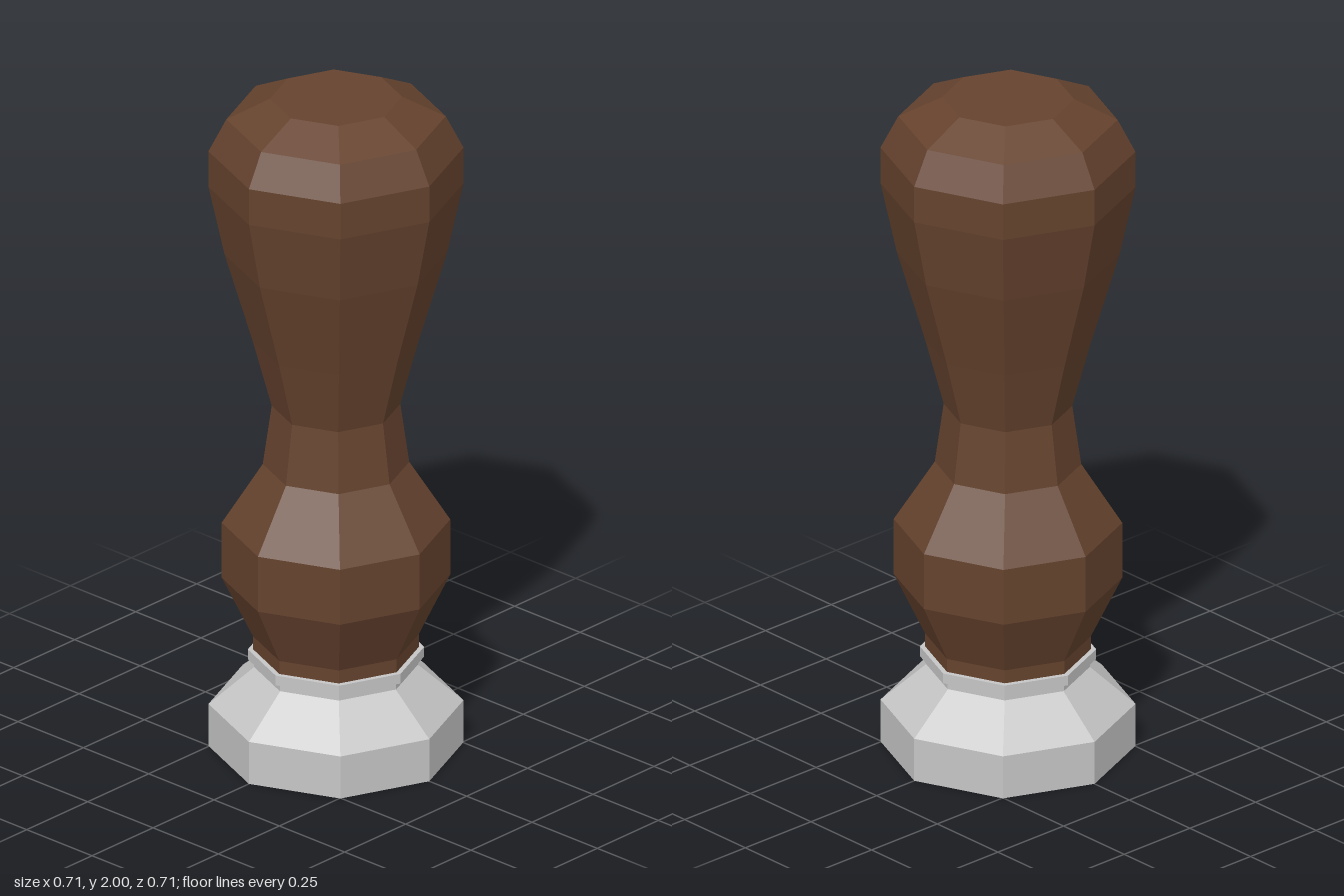
import * as THREE from 'three';

const SIDES = 8;

// Faceted turned part from [radius, height] pairs, listed bottom to top
function turned(name, profile, material) {
  const points = profile.map(([r, y]) => new THREE.Vector2(r, y));
  const geometry = new THREE.LatheGeometry(points, SIDES).toNonIndexed();
  geometry.computeVertexNormals();
  const mesh = new THREE.Mesh(geometry, material);
  mesh.name = name;
  return mesh;
}

export function createModel() {
  const wood = new THREE.MeshStandardMaterial({ color: 0x66432e });
  wood.name = 'brown wood';
  const metal = new THREE.MeshStandardMaterial({ color: 0xc6c6c6 });
  metal.name = 'grey metal';

  const group = new THREE.Group();
  group.name = 'handledPress';

  // Flared base with a shallow recess underneath
  group.add(turned('base', [
    [0, 0.04], [0.275, 0.04], [0.357, 0], [0.357, 0.13], [0.228, 0.243], [0, 0.243],
  ], metal));

  // Narrow neck and the ring above it
  group.add(turned('neck', [[0.23, 0.243], [0.23, 0.267]], metal));
  group.add(turned('collar', [
    [0, 0.267], [0.247, 0.267], [0.247, 0.297], [0, 0.297],
  ], metal));

  // Turned handle: lower bulb, waist and rounded grip
  group.add(turned('handle', [
    [0.232, 0.297], [0.232, 0.337], [0.32, 0.52], [0.32, 0.69],
    [0.205, 0.87], [0.18, 1.05], [0.233, 1.25], [0.312, 1.52],
    [0.357, 1.73], [0.357, 1.84], [0.307, 1.938], [0.185, 2], [0, 2],
  ], wood));

  return group;
}
